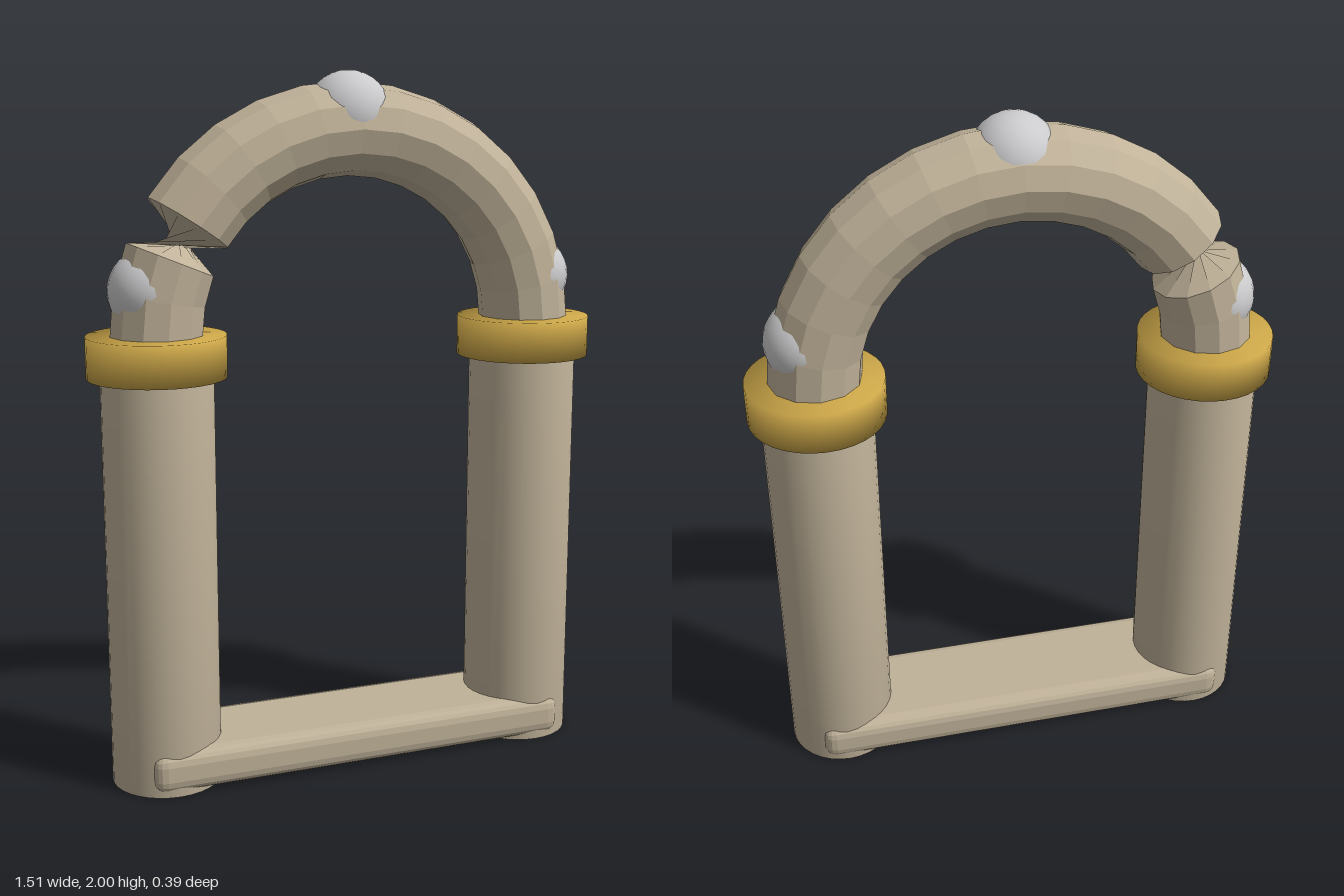
import * as THREE from 'three';
import { mergeVertices } from 'three/addons/utils/BufferGeometryUtils.js';
import { RoundedBoxGeometry } from 'three/addons/geometries/RoundedBoxGeometry.js';

const stone = new THREE.MeshStandardMaterial({ name: 'sandstone', color: 0xc0b299 });
const archStone = stone.clone(); // same colour, shown from both sides at the break
archStone.side = THREE.DoubleSide;
const gold = new THREE.MeshStandardMaterial({ name: 'gold', color: 0xcaa548 });
const silver = new THREE.MeshStandardMaterial({ name: 'pale grey', color: 0xcbcbcd });

// Cylinder whose normals run smoothly over the rims
function softCylinder(radius, height) {
  const g = new THREE.CylinderGeometry(radius, radius, height, 32);
  g.deleteAttribute('normal');
  g.deleteAttribute('uv');
  const merged = mergeVertices(g, 1e-4);
  merged.computeVertexNormals();
  return merged;
}

// Half-ring tube in flat facets; the rings past the break are turned half round,
// which pinches the segment between them
function archGeometry(radius, tube, segments, sides, breakRing) {
  const point = (i, j) => {
    const t = (i / segments) * Math.PI;
    const phi = (j / sides) * Math.PI * 2 + (i >= breakRing ? Math.PI : 0);
    const r = radius + tube * Math.cos(phi);
    return [r * Math.cos(t), r * Math.sin(t), tube * Math.sin(phi)];
  };
  const positions = [];
  for (let i = 0; i < segments; i++) {
    for (let j = 0; j < sides; j++) {
      const a = point(i, j), b = point(i + 1, j);
      const c = point(i + 1, j + 1), d = point(i, j + 1);
      positions.push(...a, ...b, ...c, ...a, ...c, ...d);
    }
  }
  const g = new THREE.BufferGeometry();
  g.setAttribute('position', new THREE.Float32BufferAttribute(positions, 3));
  g.computeVertexNormals();
  return g;
}

export function createModel() {
  const model = new THREE.Group();
  model.name = 'archway';
  const add = (name, geometry, material, x, y, z = 0) => {
    const mesh = new THREE.Mesh(geometry, material);
    mesh.name = name;
    mesh.position.set(x, y, z);
    model.add(mesh);
  };

  // Pillars, collars and side studs
  const pillar = softCylinder(0.157, 1.2);
  const collar = softCylinder(0.194, 0.117);
  const stud = new THREE.SphereGeometry(0.121, 24, 16);
  for (const [side, s] of [['left', 1], ['right', -1]]) {
    add(side + 'Pillar', pillar, stone, s * 0.56, 0.6);
    add(side + 'Collar', collar, gold, s * 0.56, 1.232);
    add(side + 'Stud', stud, silver, s * 0.57, 1.41);
  }

  // Arch with its twisted break, and the stud at the crown
  add('arch', archGeometry(0.56, 0.13, 16, 12, 14), archStone, 0, 1.28);
  add('crownStud', stud, silver, 0, 1.879, 0.006);

  // Threshold bar with bevelled edges
  const bar = new RoundedBoxGeometry(1.27, 0.12, 0.328, 2, 0.038);
  bar.computeVertexNormals();
  add('threshold', bar, stone, 0, 0.07);

  return model;
}
